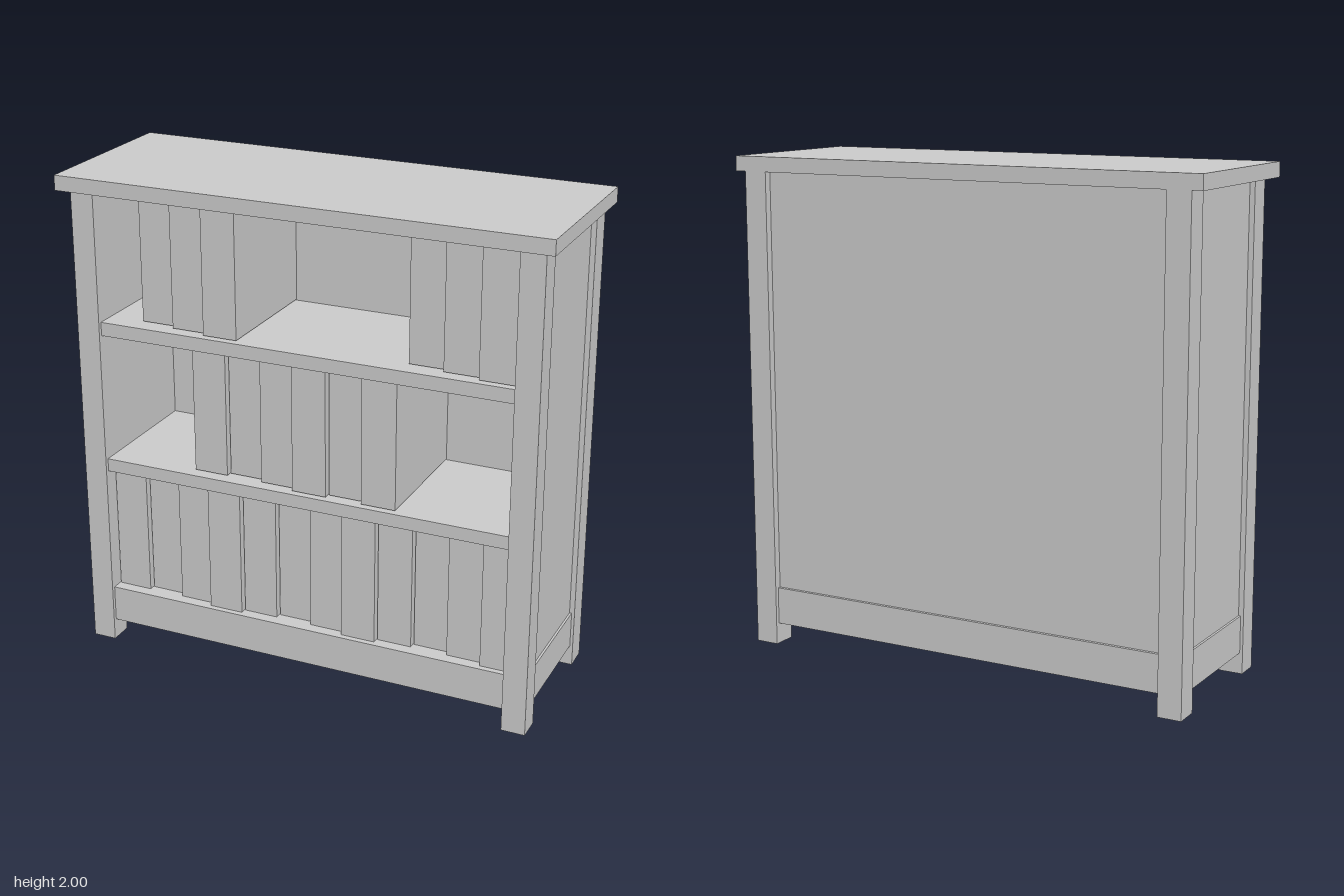
import * as THREE from 'three';

export function createModel() {
  const model = new THREE.Group();
  const material = new THREE.MeshStandardMaterial({ color: 0xcccccc, flatShading: true });

  // Box given by its lower and upper limits on each axis
  function box(name, [x0, x1], [y0, y1], [z0, z1], parent = model) {
    const mesh = new THREE.Mesh(new THREE.BoxGeometry(x1 - x0, y1 - y0, z1 - z0), material);
    mesh.position.set((x0 + x1) / 2, (y0 + y1) / 2, (z0 + z1) / 2);
    mesh.name = name;
    parent.add(mesh);
    return mesh;
  }

  const topY = 1.94, floorY = 0.237, railY = 0.085;
  const inner = 0.86, outer = 0.957;            // legs in x
  const legFront = [0.228, 0.326], legBack = [-0.365, -0.263];
  const backZ = -0.25;                          // inner face of the back panel

  box('top', [-1, 1], [topY, 2], [-0.367, 0.367]);

  // Legs, side panels and side rails, mirrored
  for (const s of [-1, 1]) {
    const side = s > 0 ? 'left' : 'right';
    const span = (a, b) => (s > 0 ? [a, b] : [-b, -a]);
    box(side + 'FrontLeg', span(inner, outer), [0, topY], legFront);
    box(side + 'BackLeg', span(inner, outer), [0, topY], legBack);
    box(side + 'Panel', span(inner, 0.936), [floorY, topY], [legBack[1], legFront[0]]);
    box(side + 'Rail', span(0.896, 0.945), [railY, floorY], [legBack[1], legFront[0]]);
  }

  // Back panel, front and back rails
  box('backPanel', [-inner, inner], [floorY, topY], [-0.335, backZ]);
  box('frontRail', [-inner, inner], [railY, floorY], [0.26, 0.31]);
  box('backRail', [-inner, inner], [railY, floorY], [-0.348, -0.298]);

  // Floor and shelves
  box('floor', [-0.896, 0.896], [0.185, floorY], [-0.298, 0.26]);
  box('lowerShelf', [-inner, inner], [0.768, 0.822], [backZ, 0.31]);
  box('upperShelf', [-inner, inner], [1.352, 1.408], [backZ, 0.31]);

  // Rows of books whose spines stand at staggered depths
  const pitch = 0.146, depths = [0.262, 0.238, 0.262, 0.286];
  function books(name, startX, y, order) {
    const row = new THREE.Group();
    row.name = name;
    order.forEach((d, i) => {
      const x = startX + i * pitch;
      box('book', [x, Math.min(x + 0.142, 0.858)], y, [backZ, depths[d]], row);
    });
    model.add(row);
  }
  books('bottomBooks', -0.856, [floorY, 0.768], [0, 1, 2, 3, 0, 1, 2, 3, 0, 1, 2, 3]);
  books('middleBooks', -0.482, [0.826, 1.352], [0, 1, 2, 3, 0, 3]);
  books('topRightBooks', -0.71, [1.412, topY], [1, 2, 3]);
  books('topLeftBooks', 0.417, [1.412, topY], [1, 2, 3]);

  return model;
}
